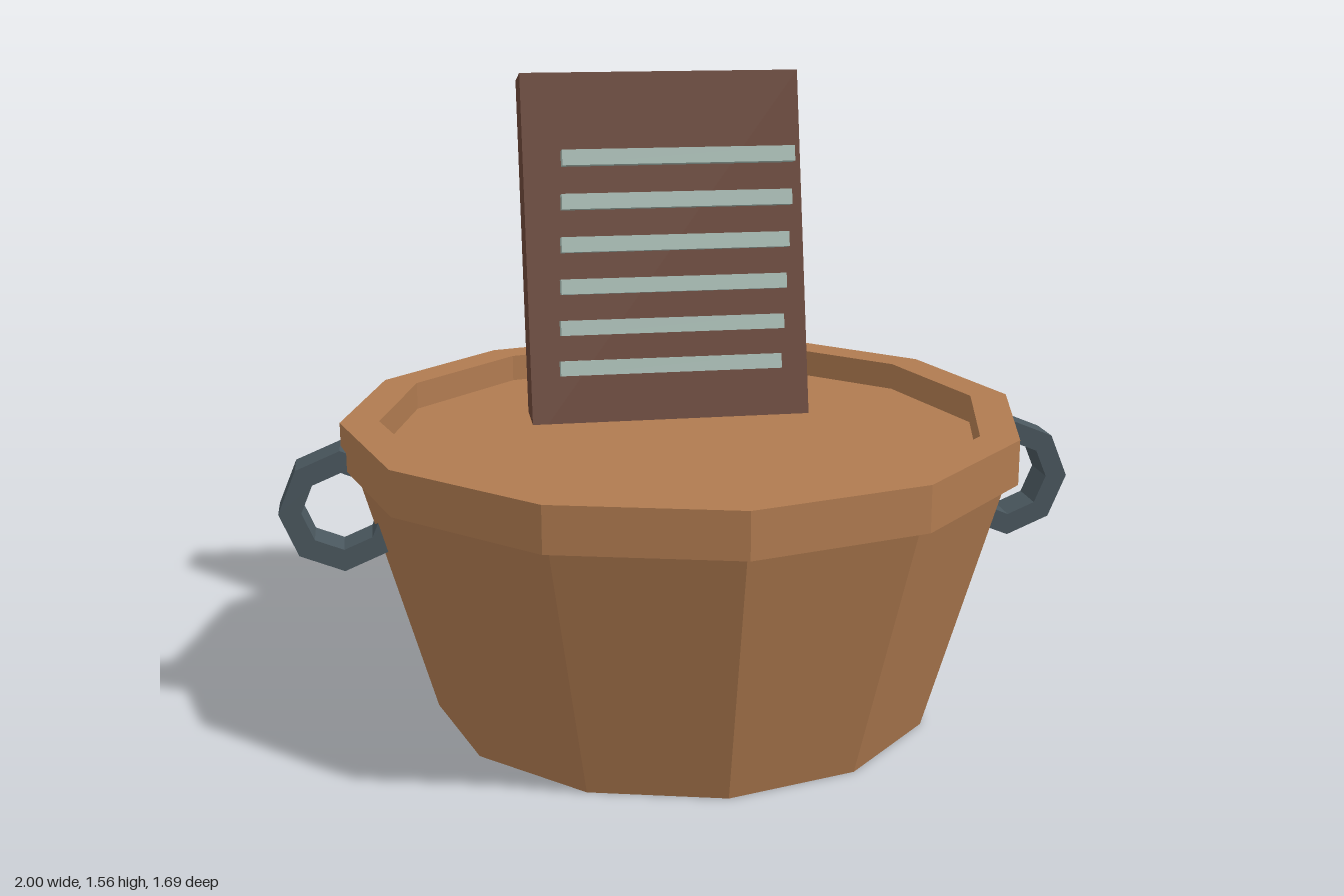
import * as THREE from 'three';

const mat = (name, color) => {
  const m = new THREE.MeshStandardMaterial({ color, flatShading: true });
  m.name = name;
  return m;
};

// Ring of rectangular section around y, with flat facets
function ringGeometry(inner, outer, y0, y1, sides) {
  const profile = [[outer, y0], [outer, y1], [inner, y1], [inner, y0], [outer, y0]]
    .map(([r, y]) => new THREE.Vector2(r, y));
  return new THREE.LatheGeometry(profile, sides);
}

export function createModel() {
  const wood = mat('tub wood', 0xb07b50);
  const darkWood = mat('board wood', 0x6a4638);
  const metal = mat('ridge metal', 0xa9bdb5);
  const iron = mat('handle iron', 0x4a575e);

  const model = new THREE.Group();
  model.name = 'washtub';
  const add = (name, geometry, material, x = 0, y = 0, z = 0, tilt = 0) => {
    const mesh = new THREE.Mesh(geometry, material);
    mesh.name = name;
    mesh.position.set(x, y, z);
    mesh.rotation.x = tilt;
    model.add(mesh);
    return mesh;
  };

  // Tapered twelve-sided tub, closed just below the raised rim
  const tubHeight = 0.685;
  add('tub', new THREE.CylinderGeometry(0.826, 0.63, tubHeight, 12), wood, 0, tubHeight / 2);
  add('rim', ringGeometry(0.75, 0.845, 0.645, 0.755, 12), wood);

  // Washboard leaning back
  const lean = -0.22;
  add('washboard', new THREE.BoxGeometry(0.725, 0.95, 0.133), darkWood, 0, 1.084, -0.316, lean);

  // Row of metal ridges in front of the board
  for (let i = 0; i < 6; i++) {
    add('ridge' + (i + 1), new THREE.BoxGeometry(0.576, 0.038, 0.038), metal,
      0, 0.826 + i * 0.1105, -0.176 + i * 0.0233, lean);
  }

  // Octagonal ring handles, partly sunk into the sides
  for (const [name, side] of [['leftHandle', 1], ['rightHandle', -1]]) {
    add(name, ringGeometry(0.098, 0.153, -0.05, 0.05, 8), iron, side * 0.847, 0.545, 0, Math.PI / 2);
  }

  return model;
}
